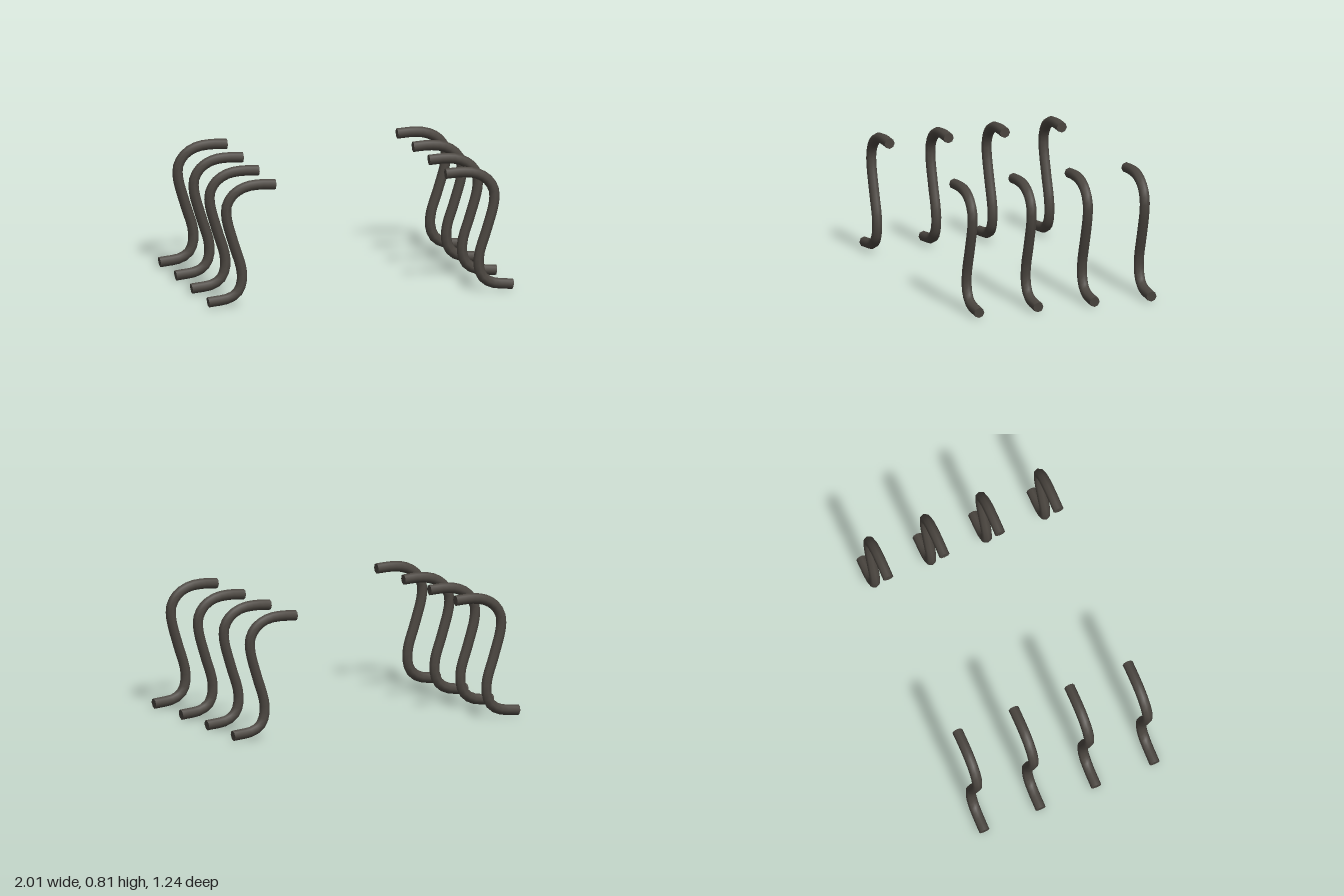
import * as THREE from 'three';

const RADIUS = 0.034;
const SIDES = 8;

export function createModel() {
  const group = new THREE.Group();
  const metal = new THREE.MeshStandardMaterial({ color: 0x4b4640 });
  metal.name = 'dark metal';

  // S-shaped centre line of one rod, from its inner top end to its outer foot
  const path = new THREE.CatmullRomCurve3([
    [0.56, 0.777], [0.67, 0.782], [0.76, 0.769], [0.835, 0.725], [0.877, 0.655],
    [0.878, 0.575], [0.83, 0.4], [0.783, 0.25], [0.778, 0.165], [0.803, 0.095],
    [0.86, 0.055], [0.999, 0.035],
  ].map(([x, y]) => new THREE.Vector3(x, y, 0)));
  const rodGeometry = new THREE.TubeGeometry(path, 28, RADIUS, SIDES, false);
  const capGeometry = new THREE.CircleGeometry(RADIUS, SIDES);

  // Flat disc closing one end of the rod
  function endCap(t, direction) {
    const cap = new THREE.Mesh(capGeometry, metal);
    cap.name = 'endCap';
    cap.position.copy(path.getPointAt(t));
    const outward = path.getTangentAt(t).multiplyScalar(direction);
    cap.lookAt(cap.position.clone().add(outward));
    return cap;
  }

  // Four rods on each side; the right row is the left one turned half round
  for (const z of [0.586, 0.184, -0.199, -0.586]) {
    for (const side of ['left', 'right']) {
      const rod = new THREE.Group();
      rod.name = side + 'Rod';
      const tube = new THREE.Mesh(rodGeometry, metal);
      tube.name = 'bentTube';
      rod.add(tube, endCap(0, -1), endCap(1, 1));
      rod.position.z = z;
      if (side === 'right') rod.rotation.y = Math.PI;
      group.add(rod);
    }
  }
  return group;
}
